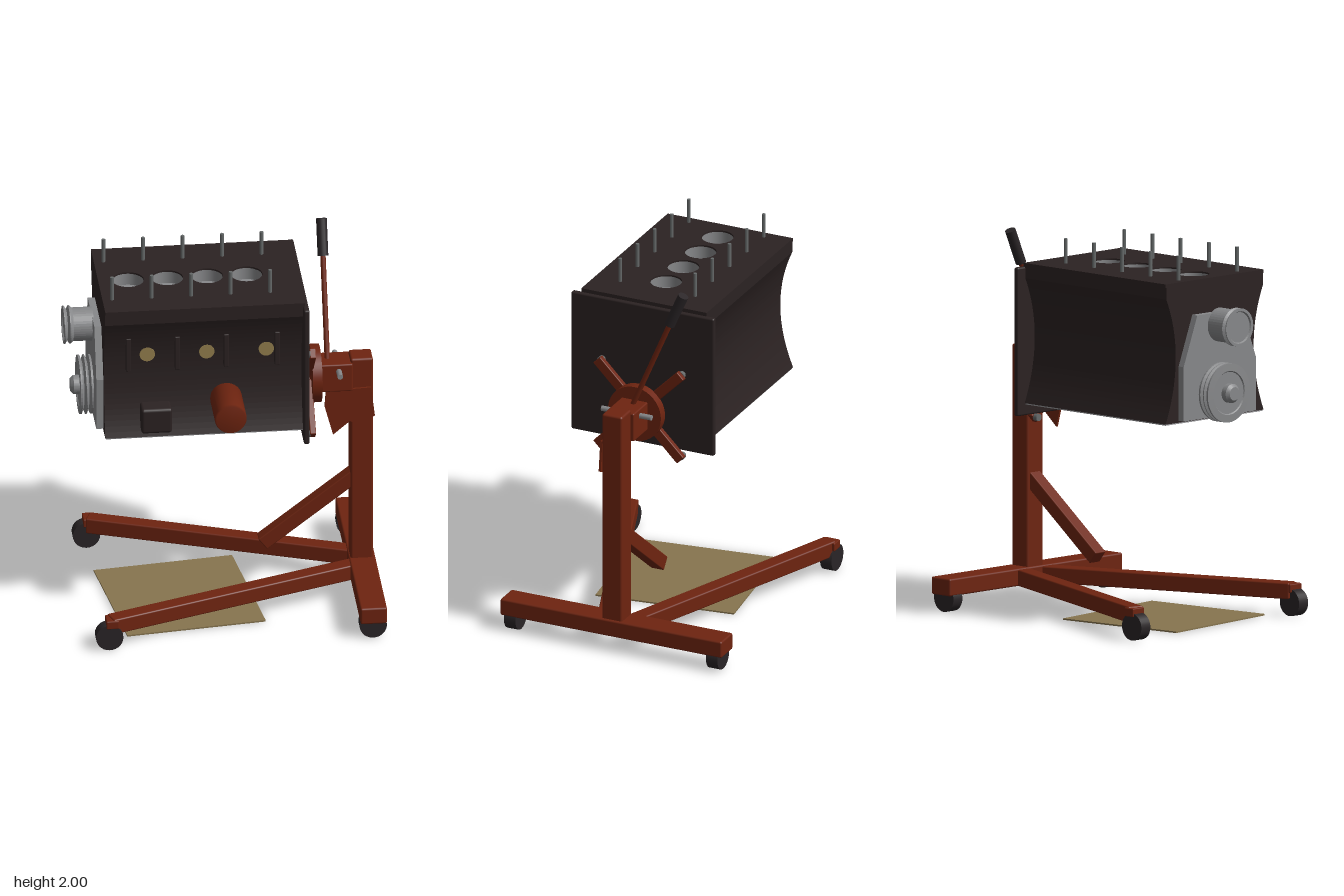
import * as THREE from 'three';
import { RoundedBoxGeometry } from 'three/addons/geometries/RoundedBoxGeometry.js';

const mat = (name, color, side = THREE.FrontSide) => {
  const m = new THREE.MeshStandardMaterial({ color, side });
  m.name = name;
  return m;
};

export function createModel() {
  const red = mat('red oxide paint', 0x6e2410);
  const iron = mat('dark cast iron', 0x2b2222);
  const rubber = mat('black rubber', 0x2a2527);
  const steel = mat('machined steel', 0x87888a, THREE.DoubleSide);
  const alloy = mat('pan alloy', 0x98989b);
  const stud = mat('stud steel', 0x666a6a);
  const tan = mat('cardboard tan', 0x87754f);
  const brass = mat('brass', 0x95804f);

  const root = new THREE.Group();
  root.name = 'engineOnStand';
  const add = (name, geo, material, x = 0, y = 0, z = 0) => {
    const m = new THREE.Mesh(geo, material);
    m.name = name;
    m.position.set(x, y, z);
    root.add(m);
    return m;
  };
  // Box given by its extents on each axis, with softly bevelled edges
  const box = (name, material, [x0, x1], [y0, y1], [z0, z1], r = 0.008) =>
    add(name, new RoundedBoxGeometry(x1 - x0, y1 - y0, z1 - z0, 2, r), material,
      (x0 + x1) / 2, (y0 + y1) / 2, (z0 + z1) / 2);
  // Cylinder between two points
  const rod = (name, material, a, b, r, sides = 24) => {
    const p = new THREE.Vector3(...a), q = new THREE.Vector3(...b);
    const m = add(name, new THREE.CylinderGeometry(r, r, p.distanceTo(q), sides), material);
    m.position.copy(p).add(q).multiplyScalar(0.5);
    m.quaternion.setFromUnitVectors(new THREE.Vector3(0, 1, 0), q.sub(p).normalize());
    return m;
  };
  const extrude = (shape, depth) =>
    new THREE.ExtrudeGeometry(shape, { depth, bevelEnabled: false, curveSegments: 24 });
  const polygon = pts => new THREE.Shape(pts.map(p => new THREE.Vector2(...p)));
  // Section drawn in (z, y), swept along x
  const sweepX = (name, shape, material, x0, x1) => {
    const m = add(name, extrude(shape, x1 - x0), material, x0);
    m.rotation.y = Math.PI / 2;
    return m;
  };

  // Engine block: waisted sides below a flat deck with four bores
  const section = new THREE.Shape();
  section.moveTo(-0.36, 1.105);
  section.lineTo(0.36, 1.105);
  section.quadraticCurveTo(0.215, 1.45, 0.355, 1.76);
  section.lineTo(-0.355, 1.76);
  section.quadraticCurveTo(-0.215, 1.45, -0.36, 1.105);
  sweepX('blockBody', section, iron, -0.63, 0.41);
  add('panFace', new THREE.BoxGeometry(1.03, 0.008, 0.71), alloy, -0.11, 1.102, 0);

  const bores = [-0.475, -0.27, -0.063, 0.143];
  const deckLayer = (name, y0, y1, w) => {
    const s = polygon([[-0.63, -w], [0.41, -w], [0.41, w], [-0.63, w]]);
    bores.forEach(x => s.holes.push(new THREE.Path().absarc(x, 0, 0.083, 0, Math.PI * 2, true)));
    add(name, extrude(s, y1 - y0), iron, 0, y0).rotation.x = -Math.PI / 2;
  };
  deckLayer('upperBlock', 1.76, 1.822, 0.355);
  deckLayer('deck', 1.822, 1.84, 0.36);
  bores.forEach(x => {
    add('cylinderLiner', new THREE.CylinderGeometry(0.082, 0.082, 0.07, 32, 1, true), steel, x, 1.797);
    add('pistonCrown', new THREE.CylinderGeometry(0.082, 0.082, 0.006, 32), steel, x, 1.765);
  });

  // Head studs
  for (let i = 0; i < 5; i++)
    for (const z of [-0.215, 0.215]) {
      const x = -0.58 + i * 0.206;
      rod('headStud', stud, [x, 1.82, z], [x, 1.97, z], 0.01, 8);
    }

  // Side details
  [-0.505, -0.25, 0.005, 0.27].forEach(x =>
    box('blockRib', iron, [x - 0.013, x + 0.013], [1.47, 1.66], [0.26, 0.325], 0.004));
  [-0.405, -0.095, 0.215].forEach(x =>
    rod('corePlug', brass, [x, 1.555, 0.26], [x, 1.555, 0.302], 0.04));
  box('fuelPumpPad', iron, [-0.445, -0.285], [1.14, 1.28], [0.27, 0.4], 0.015);
  const filter = add('oilFilter', new THREE.LatheGeometry(
    [[0, 0], [0.083, 0], [0.083, 0.245], [0.076, 0.26], [0, 0.26]].map(p => new THREE.Vector2(...p)), 32),
    red, 0.005, 1.28, 0.295);
  filter.rotation.x = Math.PI / 2;

  // Rear flange
  box('rearFlange', iron, [0.4, 0.43], [1.04, 1.82], [-0.41, 0.41], 0.01);

  // Timing cover and pulleys on the -x end
  sweepX('timingCover', polygon([[-0.265, 1.115], [0.265, 1.115], [0.265, 1.4],
    [0.165, 1.66], [-0.165, 1.66], [-0.265, 1.4]]), steel, -0.667, -0.63);
  const pulley = (name, y, profile) => {
    const geo = new THREE.LatheGeometry(profile.map(p => new THREE.Vector2(...p)), 40).toNonIndexed();
    geo.computeVertexNormals();
    add(name, geo, steel, -0.66, y).rotation.z = Math.PI / 2;
  };
  pulley('waterPumpPulley', 1.595, [[0, 0], [0.088, 0], [0.088, 0.105], [0.1, 0.118], [0.1, 0.124],
    [0.082, 0.135], [0.1, 0.147], [0.1, 0.153], [0.085, 0.153], [0.08, 0.145], [0, 0.145]]);
  pulley('crankPulley', 1.243, [[0, 0], [0.15, 0], [0.155, 0.008], [0.155, 0.018], [0.13, 0.028],
    [0.155, 0.038], [0.155, 0.044], [0.13, 0.054], [0.155, 0.064], [0.155, 0.074], [0.115, 0.076],
    [0.11, 0.07], [0.05, 0.07], [0.05, 0.1], [0.035, 0.116], [0, 0.116]]);

  // Rotating mount: four arms with bolts, a round plate and a head tube
  for (let i = 0; i < 4; i++) {
    const a = Math.PI / 4 + i * Math.PI / 2, c = Math.cos(a), s = Math.sin(a);
    const arm = add('mountArm', new RoundedBoxGeometry(0.032, 0.3, 0.055, 2, 0.005), red,
      0.464, 1.243 + 0.19 * c, 0.19 * s);
    arm.rotation.x = a;
    rod('mountBolt', stud, [0.425, 1.243 + 0.325 * c, 0.325 * s], [0.452, 1.243 + 0.325 * c, 0.325 * s], 0.02, 12);
  }
  rod('mountPlate', red, [0.475, 1.243, 0], [0.525, 1.243, 0], 0.152, 40);
  box('headTube', red, [0.515, 0.69], [1.165, 1.322], [-0.076, 0.076]);
  rod('lockPin', steel, [0.617, 1.285, -0.143], [0.617, 1.285, 0.143], 0.015, 8);
  add('gussetPlate', extrude(polygon([[0.55, 1.17], [0.543, 1.08], [0.587, 0.915], [0.675, 0.99],
    [0.71, 0.97], [0.805, 1.015], [0.785, 1.18]]), 0.012), red, 0, 0, 0.06);

  // Turning handle with grip
  rod('handleRod', red, [0.565, 1.28, 0.005], [0.565, 1.84, -0.235], 0.014, 12);
  rod('handleGrip', rubber, [0.565, 1.81, -0.222], [0.565, 1.988, -0.3], 0.028, 16);

  // Stand: post, crossbar, brace and splayed legs
  box('post', red, [0.68, 0.797], [0.12, 1.342], [-0.058, 0.058], 0.012);
  box('crossbar', red, [0.672, 0.81], [0.09, 0.182], [-0.636, 0.636], 0.01);
  const brace = add('brace', new RoundedBoxGeometry(0.63, 0.075, 0.075, 2, 0.006), red, 0.473, 0.468, 0);
  brace.rotation.z = Math.atan2(0.375, 0.485);
  for (const side of [-1, 1]) {
    const leg = add('leg', new RoundedBoxGeometry(1.41, 0.085, 0.085, 2, 0.008), red, 0.035, 0.133, side * 0.328);
    leg.rotation.y = side * Math.atan2(0.495, 1.32);
    box('casterBracket', red, [-0.65, -0.585], [0.125, 0.17],
      [side * 0.578 - 0.042, side * 0.578 + 0.042], 0.005);
    for (const x of [-0.633, 0.74])
      rod('casterWheel', rubber, [x, 0.072, side * 0.58 - 0.033], [x, 0.072, side * 0.58 + 0.033], 0.071, 28);
  }

  // Drip sheet on the floor
  add('dripSheet', new THREE.BoxGeometry(0.737, 0.008, 0.755), tan, -0.21, 0.006, 0.05).rotation.y = 0.129;

  return root;
}
